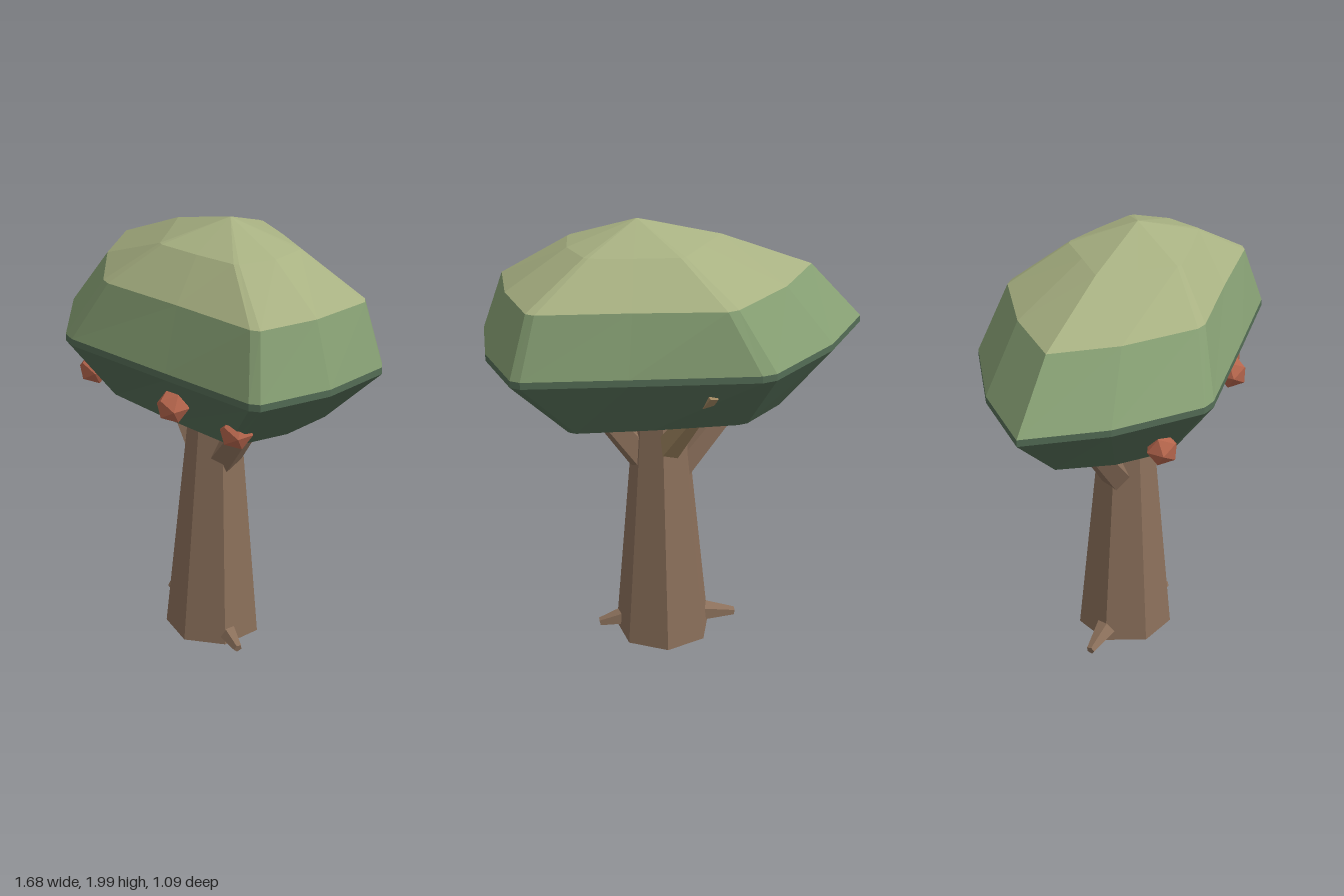
import * as THREE from 'three';

const mat = (color) => new THREE.MeshStandardMaterial({ color, flatShading: true });
const bark = mat(0x8a6f5a), paleBark = mat(0xa08660), fruit = mat(0xb5654c);
const leafTop = mat(0xa8b182), leafSide = mat(0x869f73), leafUnder = mat(0x546d56);

function add(group, name, geometry, material) {
  const mesh = new THREE.Mesh(geometry, material);
  mesh.name = name;
  group.add(mesh);
  return mesh;
}

// Tapered limb running from point a to point b
function limb(group, name, a, b, r0, r1, sides, material = bark) {
  const from = new THREE.Vector3(...a), dir = new THREE.Vector3(...b).sub(from);
  const mesh = add(group, name, new THREE.CylinderGeometry(r1, r0, dir.length(), sides), material);
  mesh.position.copy(from).addScaledVector(dir, 0.5);
  mesh.quaternion.setFromUnitVectors(new THREE.Vector3(0, 1, 0), dir.normalize());
}

// Full closed ring from half an outline; the two main corners are chamfered
function ring(y, half, skew = 0) {
  const full = half.map(([x, z]) => [x, z * (1 - skew)]);
  for (let i = 4; i > 0; i--) full.push([half[i][0], -half[i][1] * (1 + skew)]);
  const n = full.length, out = [];
  full.forEach((p, i) => {
    if (i % 2 === 0 && i > 0) {
      for (const step of [-1, 1]) {
        const q = full[(i + step + n) % n];
        out.push([p[0] + (q[0] - p[0]) * 0.07, y, p[1] + (q[1] - p[1]) * 0.07]);
      }
    } else out.push([p[0], y, p[1]]);
  });
  return out;
}

// Skin between rings listed from bottom to top; a single-point ring closes an end
function skin(rings) {
  const pos = [];
  for (let r = 0; r < rings.length - 1; r++) {
    const lo = rings[r], hi = rings[r + 1], n = Math.max(lo.length, hi.length);
    for (let i = 0; i < n; i++) {
      const j = (i + 1) % n;
      const at = (list, k) => list[k % list.length];
      if (lo.length > 1) pos.push(...lo[i], ...lo[j], ...at(hi, j));
      if (hi.length > 1) pos.push(...at(lo, i), ...hi[j], ...hi[i]);
    }
  }
  const g = new THREE.BufferGeometry();
  g.setAttribute('position', new THREE.Float32BufferAttribute(pos, 3));
  g.computeVertexNormals();
  return g;
}

export function createModel() {
  const tree = new THREE.Group();
  tree.name = 'tree';

  // Seven-sided trunk, leaning very slightly
  const trunkGeo = new THREE.CylinderGeometry(0.108, 0.22, 1.19, 7);
  trunkGeo.rotateY(THREE.MathUtils.degToRad(16));
  const p = trunkGeo.attributes.position;
  for (let i = 0; i < p.count; i++) if (p.getY(i) > 0) p.setX(i, p.getX(i) + 0.012);
  add(tree, 'trunk', trunkGeo, bark).position.set(0.073, 0.605, 0);

  // Roots
  limb(tree, 'leftRoot', [0.1, 0.09, 0.03], [0.36, 0.03, 0.075], 0.075, 0.02, 5);
  limb(tree, 'rightRoot', [0.05, 0.09, 0], [-0.27, 0.03, 0], 0.08, 0.02, 5);

  // Branches holding the canopy
  limb(tree, 'rightBranch', [0.03, 0.8, 0], [-0.38, 1.28, 0], 0.075, 0.05, 5);
  limb(tree, 'leftBranch', [0.14, 0.88, 0.01], [0.44, 1.27, 0.01], 0.08, 0.05, 5);
  limb(tree, 'backBranch', [0.08, 0.92, -0.03], [-0.02, 1.37, -0.455], 0.07, 0.03, 5, paleBark);

  // Canopy: a wedge-like crown with its narrow nose at -x
  const rim = [[-0.84, 0], [-0.6, 0.29], [-0.24, 0.555], [0.33, 0.435], [0.79, 0.335], [0.84, 0]];
  const base = ring(1.17, [[-0.55, 0], [-0.4, 0.2], [-0.19, 0.36], [0.2, 0.31], [0.54, 0.25], [0.58, 0]]);
  const rimLow = ring(1.435, rim), rimHigh = ring(1.465, rim);
  const shoulder = ring(1.73, [[-0.6, 0], [-0.4, 0.24], [-0.1, 0.465], [0.3, 0.37], [0.71, 0.285], [0.745, 0]], 0.04);
  const crown = ring(1.9, [[-0.19, 0], [-0.07, 0.13], [0.05, 0.265], [0.25, 0.22], [0.44, 0.165], [0.48, 0]]);
  const canopy = new THREE.Group();
  canopy.name = 'canopy';
  add(canopy, 'canopyUnderside', skin([[[0, 1.145, 0]], base, rimLow, rimHigh]), leafUnder);
  add(canopy, 'canopySide', skin([rimHigh, shoulder]), leafSide);
  add(canopy, 'canopyTop', skin([shoulder, crown, [[0.18, 2, 0]]]), leafTop);
  tree.add(canopy);

  // Fruit hanging along the front
  for (const [x, y, z] of [[-0.31, 1.25, 0.37], [0.325, 1.31, 0.395], [0.575, 1.25, 0.26]]) {
    add(tree, 'fruit', new THREE.IcosahedronGeometry(0.072, 0), fruit).position.set(x, y, z);
  }
  return tree;
}
